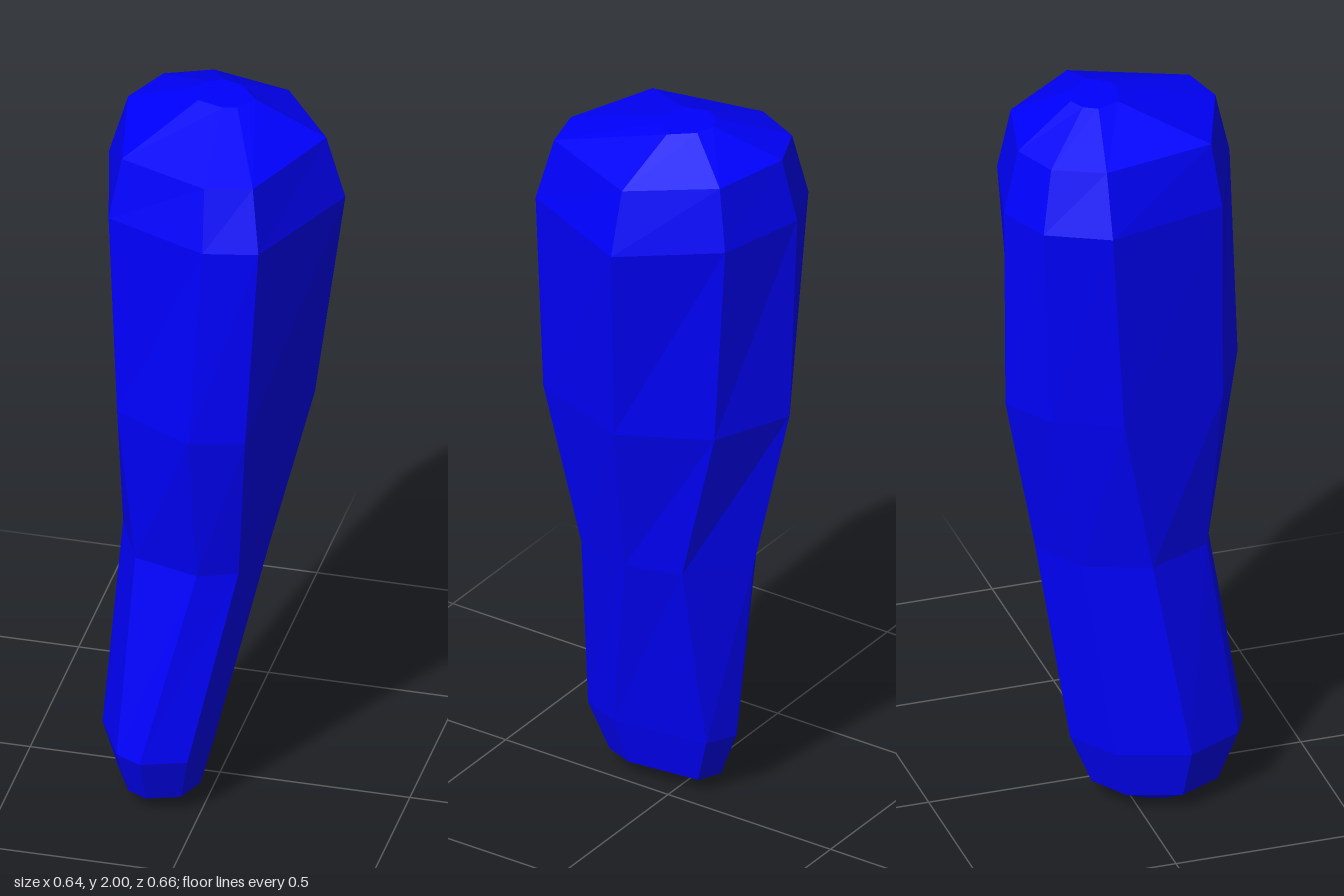
import * as THREE from 'three';

// Shrinks a cross-section towards a centre point
const shrink = (ring, cx, cz, s) => ring.map(([x, z]) => [cx + (x - cx) * s, cz + (z - cz) * s]);

// Cross-sections as [x, z] corners, running from the back round the left side to the front
const shoulder = [[-0.10, -0.33], [0.14, -0.27], [0.32, -0.04], [0.175, 0.29], [0.035, 0.32], [-0.24, 0.21], [-0.32, -0.11], [-0.24, -0.27]];
const rim = [[-0.09, -0.29], [0.12, -0.24], [0.27, -0.04], [0.15, 0.25], [0.03, 0.28], [-0.21, 0.19], [-0.27, -0.11], [-0.21, -0.24]];
const crown = [[-0.02, -0.125], [0.03, -0.11], [0.08, -0.05], [0.045, 0], [0.01, 0.01], [-0.06, -0.01], [-0.08, -0.07], [-0.06, -0.105]];
const middle = [[-0.08, -0.32], [0.13, -0.23], [0.25, 0], [0.14, 0.29], [0, 0.33], [-0.215, 0.22], [-0.29, -0.07], [-0.21, -0.24]];
const bend = [[-0.05, -0.23], [0.10, -0.11], [0.14, 0.04], [0.10, 0.20], [0, 0.24], [-0.175, 0.19], [-0.25, 0.02], [-0.19, -0.15]];
const lower = [[-0.09, -0.15], [-0.01, -0.11], [0.02, 0.155], [-0.02, 0.26], [-0.135, 0.30], [-0.205, 0.265], [-0.28, 0.115], [-0.22, -0.07]];

// Joins the rings from top to bottom and closes both ends
function loft(rings) {
  const n = rings[0].points.length;
  const pos = [], index = [];
  for (const { y, points } of rings) for (const [x, z] of points) pos.push(x, y, z);
  for (let i = 0; i < rings.length - 1; i++) {
    for (let j = 0; j < n; j++) {
      const k = (j + 1) % n;
      const a = i * n + j, b = i * n + k, c = a + n, d = b + n;
      index.push(a, b, d, a, d, c);
    }
  }
  const last = (rings.length - 1) * n;
  for (let j = 1; j < n - 1; j++) {
    index.push(0, j + 1, j);
    index.push(last, last + j, last + j + 1);
  }
  const geo = new THREE.BufferGeometry();
  geo.setAttribute('position', new THREE.Float32BufferAttribute(pos, 3));
  geo.setIndex(index);
  const flat = geo.toNonIndexed();
  flat.computeVertexNormals();
  return flat;
}

export function createModel() {
  const group = new THREE.Group();
  const material = new THREE.MeshStandardMaterial({ color: 0x0000ff, flatShading: true });

  // One faceted limb, wide at the top, bending forward to a rounded tip
  const limb = new THREE.Mesh(loft([
    { y: 2, points: crown },
    { y: 1.92, points: rim },
    { y: 1.75, points: shoulder },
    { y: 1.18, points: middle },
    { y: 0.73, points: bend },
    { y: 0.18, points: lower },
    { y: 0.045, points: shrink(lower, -0.13, 0.07, 0.75) },
    { y: 0, points: shrink(lower, -0.13, 0.07, 0.25) },
  ]), material);
  limb.name = 'limb';
  group.add(limb);
  return group;
}
